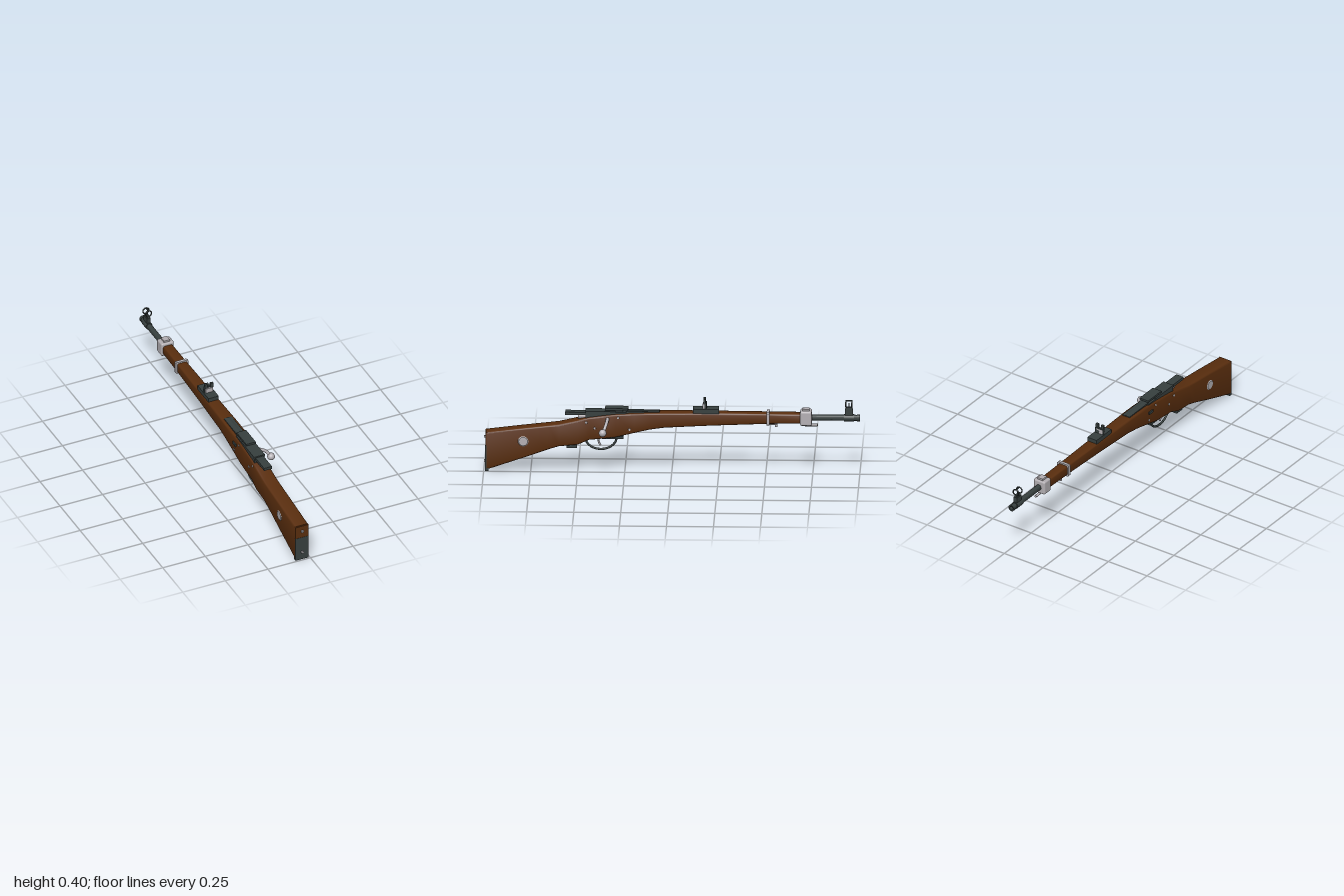
import * as THREE from 'three';
import { toCreasedNormals } from 'three/addons/utils/BufferGeometryUtils.js';
import { RoundedBoxGeometry } from 'three/addons/geometries/RoundedBoxGeometry.js';

const CX = -0.045; // centre line of the barrel and stock
const BORE = 0.3;

export function createModel() {
  const group = new THREE.Group();
  const material = (name, color) => {
    const m = new THREE.MeshStandardMaterial({ color });
    m.name = name;
    return m;
  };
  const wood = material('walnut', 0x5a2e0e);
  const dark = material('darkSteel', 0x37403f);
  const silver = material('brightSteel', 0xb4b0b4);

  const add = (name, geometry, mat, x = 0, y = 0, z = 0) => {
    const mesh = new THREE.Mesh(geometry, mat);
    mesh.name = name;
    mesh.position.set(x, y, z);
    group.add(mesh);
    return mesh;
  };
  // Box given by width, height range and length range, dx off the centre line
  const box = (name, mat, w, y0, y1, z0, z1, dx = 0) =>
    add(name, new THREE.BoxGeometry(w, y1 - y0, z1 - z0), mat, CX + dx, (y0 + y1) / 2, (z0 + z1) / 2);
  const rod = (name, mat, r, z0, z1, y = BORE, dx = 0) =>
    add(name, new THREE.CylinderGeometry(r, r, z1 - z0, 20).rotateX(Math.PI / 2), mat, CX + dx, y, (z0 + z1) / 2);
  const tube = (name, mat, points, r) =>
    add(name, new THREE.TubeGeometry(new THREE.CatmullRomCurve3(points.map(p => new THREE.Vector3(...p))), 28, r, 8), mat);

  // Stock: rounded rectangular sections [z, top, bottom, half width]
  const sections = [
    [-0.69, 0.325, 0.272, 0.028], [-0.5, 0.326, 0.268, 0.029], [-0.2, 0.327, 0.257, 0.033],
    [0.04, 0.327, 0.245, 0.037], [0.12, 0.326, 0.234, 0.039], [0.2, 0.324, 0.215, 0.039],
    [0.3, 0.318, 0.19, 0.039], [0.36, 0.311, 0.183, 0.039], [0.44, 0.3, 0.175, 0.039],
    [0.5, 0.284, 0.148, 0.039], [0.6, 0.261, 0.138, 0.039], [0.65, 0.255, 0.123, 0.039],
    [0.79, 0.239, 0.073, 0.039], [0.985, 0.215, 0.006, 0.039],
  ];
  add('stock', loft(sections), wood);

  // Butt plate and its screws
  box('buttPlate', dark, 0.077, 0.0, 0.14, 0.975, 0.992);
  box('buttHeel', wood, 0.076, 0.14, 0.212, 0.98, 0.991);
  for (const y of [0.047, 0.181]) box('buttScrew', silver, 0.012, y - 0.006, y + 0.006, 0.985, 1);

  // Side fittings
  const stud = (name, mat, side, r, y, z, out) =>
    add(name, new THREE.CylinderGeometry(r * 0.85, r, out, 20).rotateZ(-side * Math.PI / 2), mat,
      CX + side * (0.039 + out / 2), y, z);
  for (const side of [-1, 1]) {
    stud('stockDisc', silver, side, 0.028, 0.166, 0.79, 0.003);
    for (const [z, y] of [[0.455, 0.273], [0.41, 0.241], [0.285, 0.3], [0.225, 0.236]])
      stud('sideScrew', silver, side, 0.007, y, z, 0.003);
  }
  box('boltStop', dark, 0.008, 0.274, 0.288, 0.22, 0.255, -0.042);

  // Receiver and bolt
  rod('receiverRing', dark, 0.027, 0.065, 0.24, 0.306);
  box('receiverFront', dark, 0.046, 0.3, 0.331, 0.065, 0.24);
  box('receiverBody', dark, 0.06, 0.29, 0.327, 0.23, 0.46);
  box('receiverCover', dark, 0.064, 0.32, 0.332, 0.3, 0.46);
  box('coverPost', dark, 0.03, 0.325, 0.34, 0.26, 0.33);
  box('topPlate', dark, 0.056, 0.337, 0.348, 0.232, 0.355);
  box('rearPlate', dark, 0.046, 0.309, 0.325, 0.45, 0.567);
  rod('boltBody', silver, 0.016, 0.4, 0.5);
  tube('boltHandle', silver, [[CX, 0.307, 0.338], [-0.005, 0.292, 0.342], [0.04, 0.27, 0.35], [0.055, 0.253, 0.357], [0.067, 0.236, 0.364]], 0.009);
  add('boltKnob', new THREE.SphereGeometry(0.0205, 24, 16), silver, 0.067, 0.236, 0.366);

  // Trigger, guard and floor plates
  const guard = [];
  for (let i = 0; i <= 10; i++) {
    const a = Math.PI * i / 10;
    guard.push([CX, 0.184 - 0.068 * Math.sin(a), 0.378 + 0.084 * Math.cos(a)]);
  }
  tube('triggerGuard', dark, guard, 0.006);
  tube('trigger', silver, [[CX, 0.19, 0.385], [CX, 0.16, 0.39], [CX, 0.137, 0.38]], 0.005);
  box('floorPlate', dark, 0.05, 0.179, 0.193, 0.258, 0.37);
  box('rearGuardPlate', dark, 0.046, 0.126, 0.147, 0.505, 0.56);

  // Barrel with an open muzzle
  const profile = [[0.016, -0.65], [0.016, -0.985], [0.0185, -0.985], [0.0185, -1], [0.011, -1], [0.011, -0.95], [0, -0.95]]
    .map(([r, z]) => new THREE.Vector2(r, -z));
  const barrel = toCreasedNormals(new THREE.LatheGeometry(profile, 24), 0.6).rotateX(-Math.PI / 2);
  const barrelMesh = add('barrel', barrel, dark, CX, BORE, 0);
  barrelMesh.material.side = THREE.DoubleSide;

  // Rear sight: base, block and notched leaf
  box('rearSightBase', dark, 0.06, 0.32, 0.349, -0.25, -0.112);
  box('rearSightBlock', silver, 0.043, 0.349, 0.375, -0.185, -0.164);
  box('rearSightLeaf', dark, 0.05, 0.349, 0.38, -0.185, -0.174);
  for (const s of [-1, 1]) box('rearSightEar', dark, 0.016, 0.374, 0.401, -0.18, -0.168, s * 0.017);

  // Front sight: collar, base, post and two hood rings
  rod('frontSightCollar', dark, 0.02, -0.968, -0.915);
  box('frontSightBase', dark, 0.022, 0.31, 0.348, -0.963, -0.92);
  box('frontSightRiser', dark, 0.014, 0.345, 0.36, -0.96, -0.922);
  box('frontSightPost', dark, 0.004, 0.355, 0.38, -0.944, -0.938);
  for (const z of [-0.957, -0.925])
    add('frontSightRing', new THREE.TorusGeometry(0.0175, 0.0035, 8, 24), dark, CX, 0.376, z);
  box('hoodBar', dark, 0.006, 0.391, 0.397, -0.957, -0.925);

  // Front band with top block and lug
  add('frontBand', new RoundedBoxGeometry(0.074, 0.078, 0.062, 2, 0.009), silver, CX, 0.301, -0.713);
  box('bandTopBlock', silver, 0.034, 0.335, 0.35, -0.732, -0.694);
  rod('bandLug', silver, 0.007, -0.775, -0.69, 0.258);

  // Middle band: a closed frame around the forestock
  const outline = rectangle(0.037, 0.036);
  outline.holes.push(rectangle(0.028, 0.027));
  add('middleBand', new THREE.ExtrudeGeometry(outline, { depth: 0.016, bevelEnabled: false }), silver, CX, 0.298, -0.52);
  box('swivelArm', silver, 0.012, 0.259, 0.271, -0.56, -0.51);
  box('swivelStud', silver, 0.03, 0.249, 0.263, -0.561, -0.549);
  return group;
}

// Centred rectangle with clipped corners
function rectangle(w, h, c = 0.006) {
  return new THREE.Shape([[w, -h + c], [w, h - c], [w - c, h], [c - w, h], [-w, h - c], [-w, c - h], [c - w, -h], [w - c, -h]]
    .map(p => new THREE.Vector2(...p)));
}

// Skin rounded rectangular sections along z, with end caps
function loft(sections) {
  const positions = [], index = [], steps = 3, n = 4 * (steps + 1), r = 0.01;
  for (const [z, top, bottom, half] of sections) {
    for (let c = 0; c < 4; c++) {
      const sx = c === 0 || c === 3 ? 1 : -1;
      const cy = c < 2 ? top - r : bottom + r;
      for (let k = 0; k <= steps; k++) {
        const a = (c + k / steps) * Math.PI / 2;
        positions.push(CX + sx * (half - r) + r * Math.cos(a), cy + r * Math.sin(a), z);
      }
    }
  }
  const last = (sections.length - 1) * n;
  for (let s = 0; s < last; s += n) {
    for (let i = 0; i < n; i++) {
      const a = s + i, b = s + (i + 1) % n;
      index.push(a, b, b + n, a, b + n, a + n);
    }
  }
  for (let i = 1; i < n - 1; i++) index.push(0, i + 1, i, last, last + i, last + i + 1);
  const geometry = new THREE.BufferGeometry();
  geometry.setAttribute('position', new THREE.Float32BufferAttribute(positions, 3));
  geometry.setIndex(index);
  return toCreasedNormals(geometry, 0.55);
}
